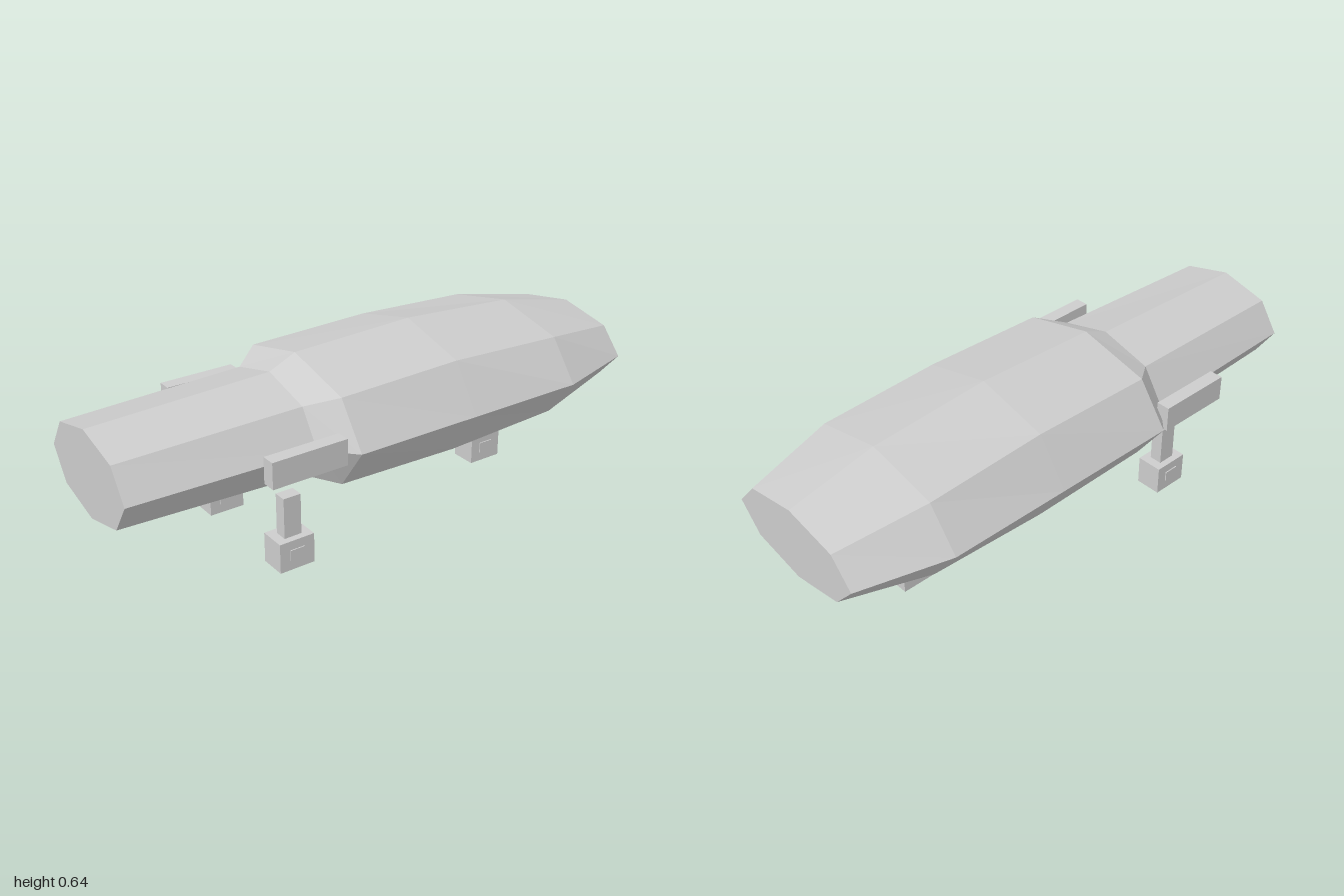
import * as THREE from 'three';

const hullGrey = new THREE.MeshStandardMaterial({ color: 0xcccccc, flatShading: true });
hullGrey.name = 'hull grey';

const SIDES = 8;
const AXIS_Y = 0.405;

// Octagonal hull stations from nose to tail: z, half width, half height
const STATIONS = [
  [1.0, 0.255, 0.155],
  [0.34, 0.275, 0.175],
  [0.24, 0.38, 0.22],
  [-0.23, 0.38, 0.235],
  [-0.68, 0.38, 0.205],
  [-1.0, 0.29, 0.135],
];

function hullGeometry() {
  const rings = STATIONS.map(([z, rx, ry]) =>
    Array.from({ length: SIDES }, (_, j) => {
      const a = (j / SIDES) * Math.PI * 2;
      return [Math.cos(a) * rx, AXIS_Y + Math.sin(a) * ry, z];
    }));
  const pos = [];
  const tri = (a, b, c) => pos.push(...a, ...b, ...c);
  // Skin between neighbouring stations
  for (let i = 0; i < rings.length - 1; i++) {
    for (let j = 0; j < SIDES; j++) {
      const k = (j + 1) % SIDES;
      const a = rings[i][j], b = rings[i][k], c = rings[i + 1][j], d = rings[i + 1][k];
      tri(a, c, b);
      tri(b, c, d);
    }
  }
  // Flat nose and tail caps
  const nose = rings[0], tail = rings[rings.length - 1];
  for (let j = 1; j < SIDES - 1; j++) {
    tri(nose[0], nose[j], nose[j + 1]);
    tri(tail[0], tail[j + 1], tail[j]);
  }
  const geo = new THREE.BufferGeometry();
  geo.setAttribute('position', new THREE.Float32BufferAttribute(pos, 3));
  geo.computeVertexNormals();
  return geo;
}

function box(name, size, position) {
  const mesh = new THREE.Mesh(new THREE.BoxGeometry(...size), hullGrey);
  mesh.name = name;
  mesh.position.set(...position);
  return mesh;
}

// Landing leg: strut, block foot and an axle plate showing on both sides
function landingLeg(name, x, z) {
  const leg = new THREE.Group();
  leg.name = name;
  leg.position.set(x, 0, z);
  leg.add(
    box('strut', [0.047, 0.155, 0.065], [0, 0.1775, 0]),
    box('foot', [0.096, 0.108, 0.132], [0, 0.054, 0]),
    box('axle', [0.104, 0.04, 0.055], [0, 0.055, 0]),
  );
  return leg;
}

export function createModel() {
  const model = new THREE.Group();
  model.name = 'spacecraft';

  const hull = new THREE.Mesh(hullGeometry(), hullGrey);
  hull.name = 'hull';
  model.add(hull);

  // Mirrored side pods and front legs
  for (const [side, s] of [['left', 1], ['right', -1]]) {
    model.add(box(side + 'Pod', [0.05, 0.093, 0.278], [s * 0.335, 0.418, 0.42]));
    model.add(landingLeg(side + 'FrontLeg', s * 0.228, 0.423));
  }
  model.add(landingLeg('rearLeg', 0, -0.577));
  return model;
}
